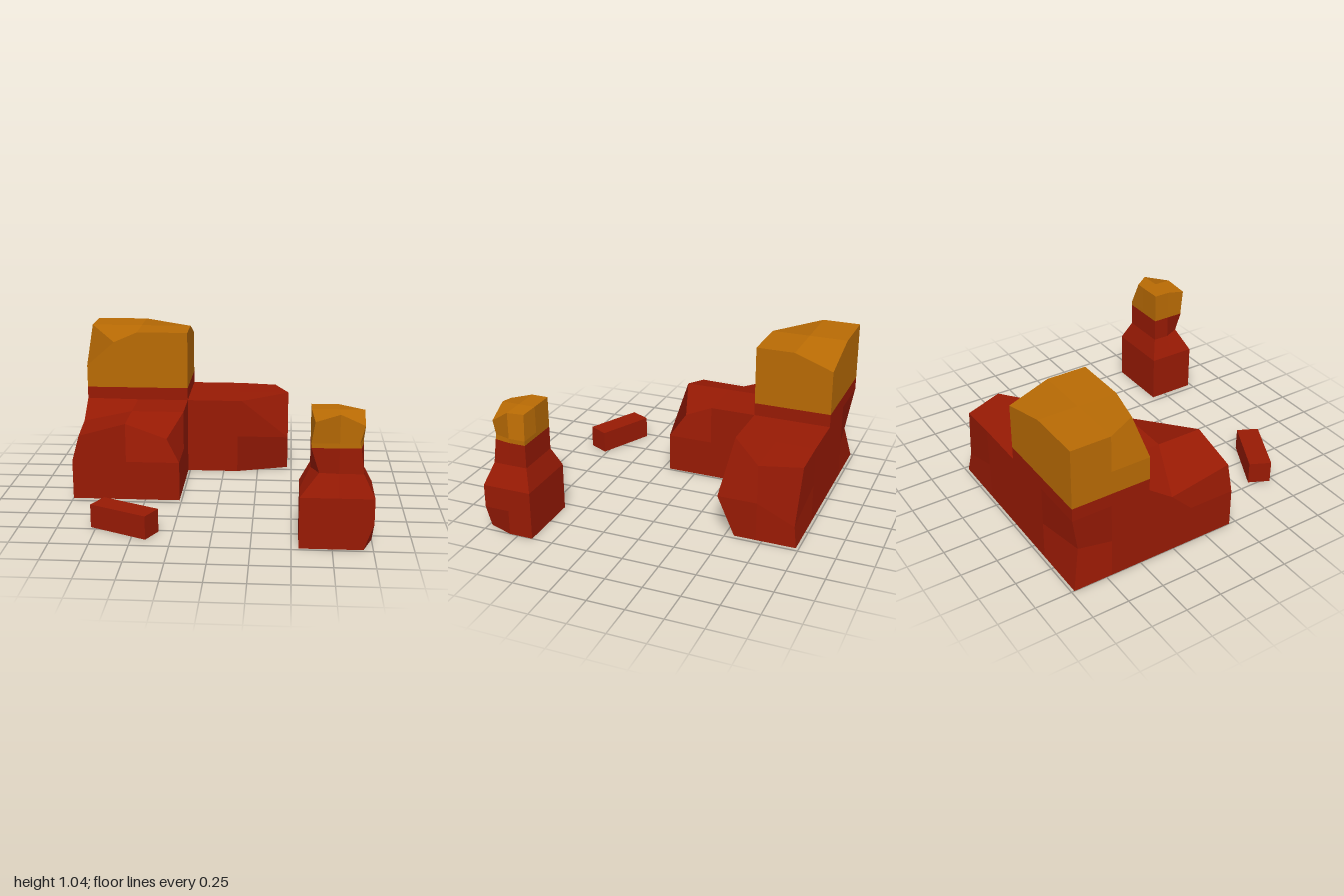
import * as THREE from 'three';

const redRock = new THREE.MeshStandardMaterial({ color: 0x981a04, side: THREE.DoubleSide });
redRock.name = 'red rock';
const ochreRock = new THREE.MeshStandardMaterial({ color: 0xb96b04, side: THREE.DoubleSide });
ochreRock.name = 'ochre rock';

const SIDES = ['right', 'left', 'top', 'bottom', 'front', 'back'];

// Faceted shell on a grid of planes. open lists the sides left out;
// moves shift single grid points: 'i,j,k' -> [x, y, z].
function rock(name, material, xs, ys, zs, open, moves = {}) {
  const nx = xs.length - 1, ny = ys.length - 1, nz = zs.length - 1;
  const box = new THREE.BoxGeometry(1, 1, 1, nx, ny, nz);
  const pos = box.attributes.position;
  for (let n = 0; n < pos.count; n++) {
    const i = Math.round((pos.getX(n) + 0.5) * nx);
    const j = Math.round((pos.getY(n) + 0.5) * ny);
    const k = Math.round((pos.getZ(n) + 0.5) * nz);
    pos.setXYZ(n, ...(moves[`${i},${j},${k}`] ?? [xs[i], ys[j], zs[k]]));
  }
  const point = (n) => new THREE.Vector3().fromBufferAttribute(pos, n);
  const positions = [], normals = [];
  for (const { start, count, materialIndex } of box.groups) {
    if (open.includes(SIDES[materialIndex])) continue;
    for (let q = start; q < start + count; q += 6) {
      const [a, b, d, , c] = [...box.index.array.slice(q, q + 6)].map(point);
      // One normal for the whole facet, split along the diagonal that bulges outward
      const normal = c.clone().sub(a).cross(d.clone().sub(b)).normalize();
      const bend = b.clone().sub(a).cross(d.clone().sub(a)).dot(c.clone().sub(a));
      const corners = bend > 1e-7 ? [a, b, c, a, c, d] : [a, b, d, b, c, d];
      for (const p of corners) {
        positions.push(p.x, p.y, p.z);
        normals.push(normal.x, normal.y, normal.z);
      }
    }
  }
  const geometry = new THREE.BufferGeometry();
  geometry.setAttribute('position', new THREE.Float32BufferAttribute(positions, 3));
  geometry.setAttribute('normal', new THREE.Float32BufferAttribute(normals, 3));
  const mesh = new THREE.Mesh(geometry, material);
  mesh.name = name;
  return mesh;
}

export function createModel() {
  const model = new THREE.Group();
  model.name = 'rockFormation';

  // L-shaped outcrop: tall corner with two lower wings, hollow underneath
  const outcrop = new THREE.Group();
  outcrop.name = 'outcrop';
  const tx = [-1, -0.63, -0.265], tz = [-0.98, -0.71, -0.44];
  const ys = [0, 0.27, 0.54];
  outcrop.add(
    rock('cornerBase', redRock, tx, ys, tz, ['right', 'front', 'top', 'bottom'], {
      '0,1,0': [-0.95, 0.27, -0.92],
    }),
    rock('towerBand', redRock, tx, [0.54, 0.63], tz, ['top', 'bottom']),
    rock('towerCap', ochreRock, tx, [0.63, 0.79, 1.04], tz, ['bottom'], {
      '0,2,2': [-0.8, 0.965, -0.44],
      '2,2,0': [-0.265, 0.94, -0.98],
    }),
    rock('frontWing', redRock, tx, ys, [-0.44, -0.12, 0.2], ['back', 'bottom'], {
      '0,2,0': [-1, 0.545, -0.44],
      '0,2,1': [-1, 0.42, -0.27],
      '0,2,2': [-0.95, 0.45, 0.2],
      '2,2,2': [-0.36, 0.41, 0.11],
    }),
    rock('sideWing', redRock, [-0.265, 0.1, 0.47], ys, tz, ['left', 'bottom'], {
      '2,2,2': [0.13, 0.54, -0.44],
      '2,0,2': [0.47, 0, -0.56],
      '2,2,0': [0.37, 0.53, -0.98],
      '2,1,0': [0.45, 0.14, -0.96],
    }),
  );
  model.add(outcrop);

  // Free-standing pillar: wide foot, narrow neck, ochre cap
  const pillar = new THREE.Group();
  pillar.name = 'pillar';
  const fx = [0.545, 0.78, 1], fz = [0.645, 0.81, 0.98];
  const nx = [0.61, 0.78, 0.93], nz = [0.695, 0.81, 0.93];
  const shoulder = {};
  for (let i = 0; i < 3; i++) {
    for (let k = 0; k < 3; k++) shoulder[`${i},1,${k}`] = [nx[i], 0.47, nz[k]];
  }
  const dent = [0.66, 0.47, 0.92], notch = [0.91, 0.63, 0.92];
  shoulder['0,1,2'] = dent;
  const tube = ['top', 'bottom'];
  pillar.add(
    rock('pillarFoot', redRock, fx, [0, 0.17, 0.33], fz, tube, { '2,0,2': [0.94, 0, 0.98] }),
    rock('pillarShoulder', redRock, fx, [0.33, 0.47], fz, tube, shoulder),
    rock('pillarNeck', redRock, nx, [0.47, 0.63], nz, tube, { '0,0,2': dent, '2,1,2': notch }),
    rock('pillarCap', ochreRock, nx, [0.63, 0.66, 0.84], nz, ['bottom'], {
      '2,0,2': notch,
      '2,1,2': [0.9, 0.66, 0.92],
      '0,2,2': [0.63, 0.8, 0.96],
      '2,2,2': [0.93, 0.77, 0.92],
      '2,2,0': [0.88, 0.82, 0.72],
    }),
  );
  model.add(pillar);

  // Small loose slab
  const slab = rock('looseSlab', redRock, [-0.209, 0.209], [0, 0.155], [-0.076, 0.076], ['bottom']);
  slab.position.set(-0.5625, 0, 0.745);
  slab.rotation.y = -0.458;
  model.add(slab);

  return model;
}
